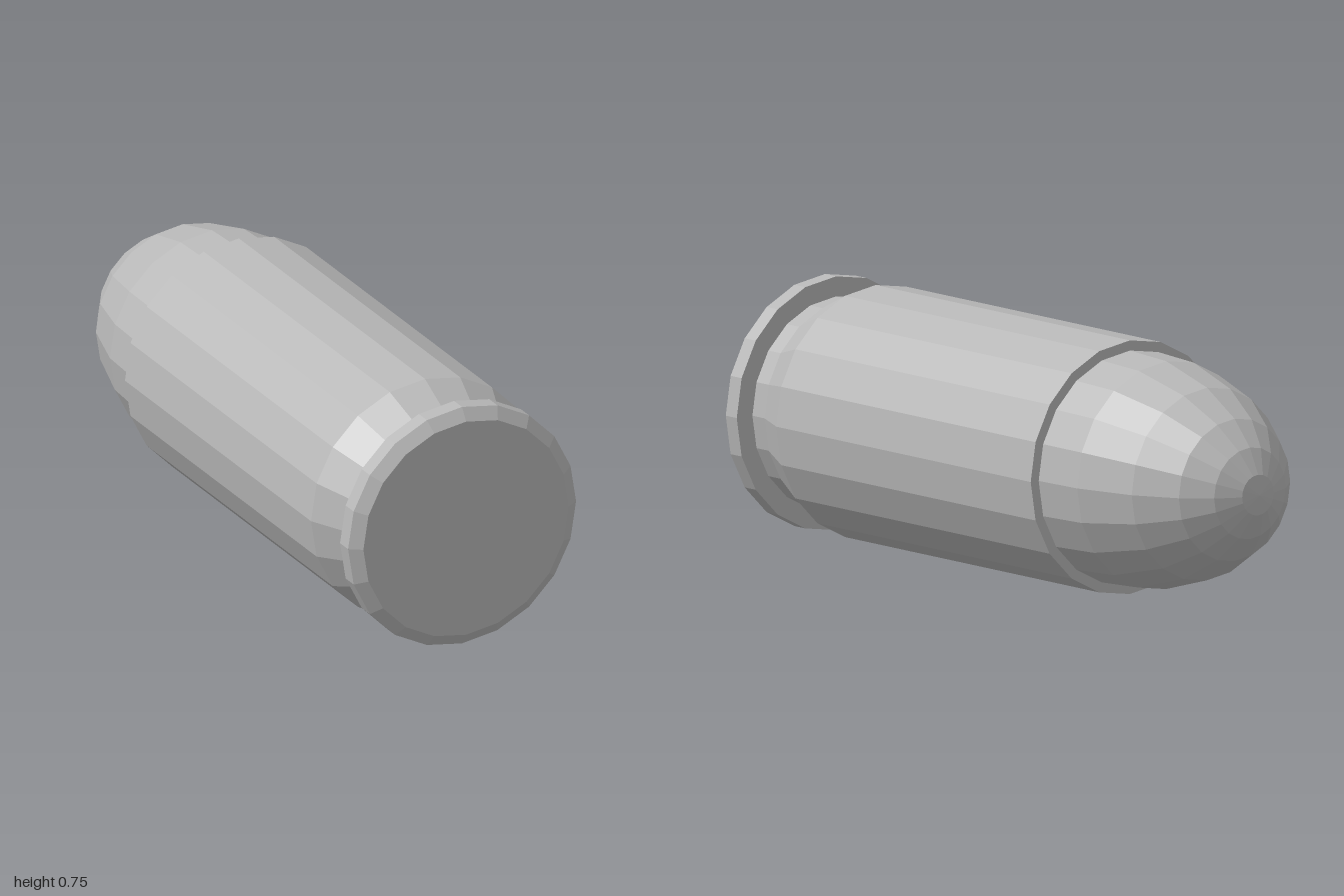
import * as THREE from 'three';

const SIDES = 20;
const AXIS_HEIGHT = 0.374;

// Turns a [radius, z] profile, listed from the front (+z) to the back, about the z axis
function turned(name, profile, material) {
  const points = profile.map(([r, z]) => new THREE.Vector2(r, -z));
  const geometry = new THREE.LatheGeometry(points, SIDES);
  geometry.rotateX(-Math.PI / 2);
  const mesh = new THREE.Mesh(geometry, material);
  mesh.name = name;
  mesh.position.y = AXIS_HEIGHT;
  return mesh;
}

export function createModel() {
  const metal = new THREE.MeshStandardMaterial({ color: 0xb8b8b8, flatShading: true });
  metal.name = 'grey metal';

  const model = new THREE.Group();
  model.name = 'cartridge';

  // Flat base with a bevelled rim
  model.add(turned('rim', [
    [0, 1], [0.337, 1], [0.374, 0.975], [0.374, 0.925], [0.315, 0.925],
  ], metal));

  // Extractor groove, sloping out to the case wall and ending in a mouth ledge
  model.add(turned('case', [
    [0.315, 0.925], [0.315, 0.87], [0.374, 0.745], [0.374, -0.41], [0.344, -0.41],
  ], metal));

  // Rounded nose
  model.add(turned('bullet', [
    [0.344, -0.41], [0.336, -0.575], [0.284, -0.76], [0.21, -0.885],
    [0.135, -0.955], [0.06, -0.992], [0, -1],
  ], metal));

  return model;
}
